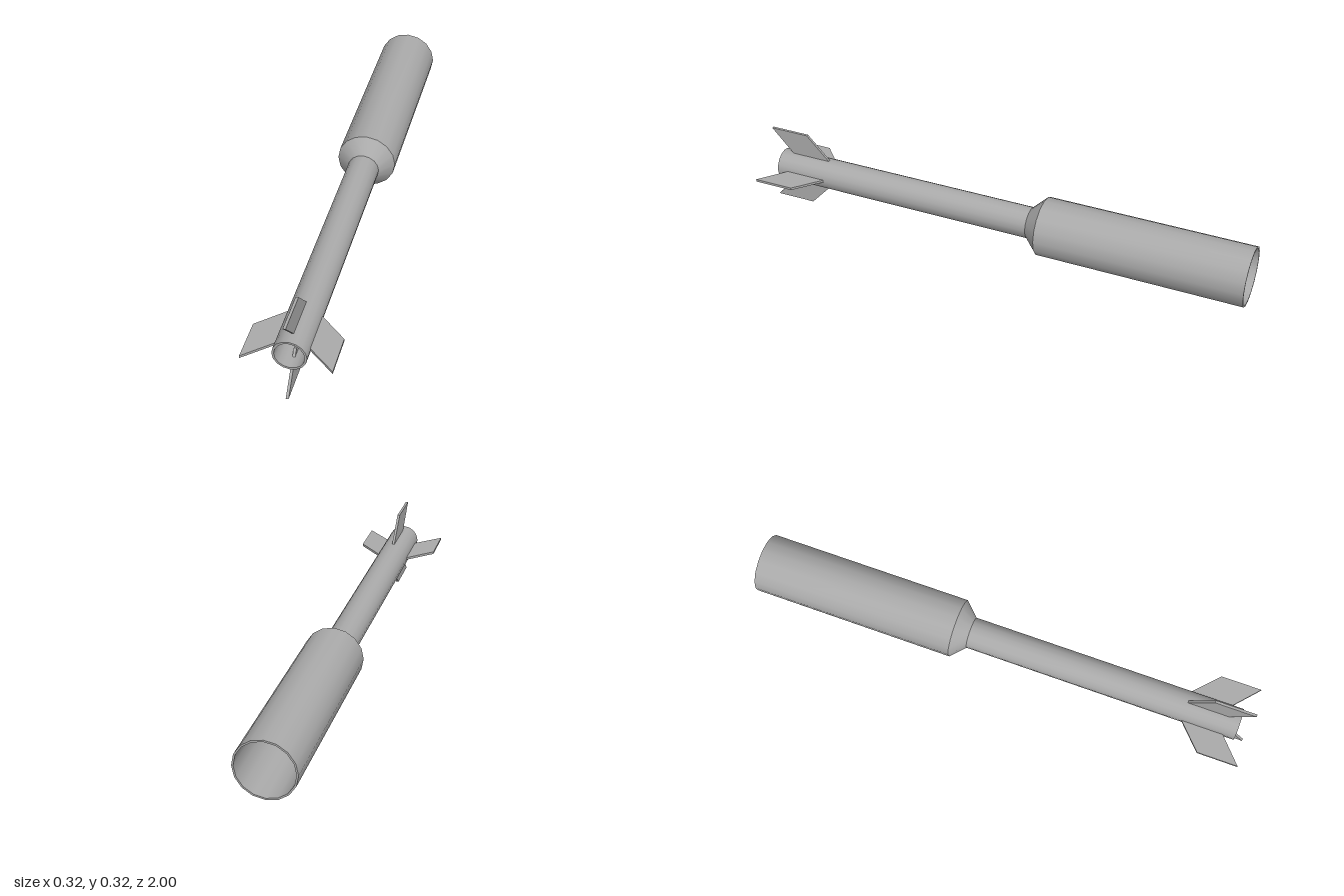
import * as THREE from 'three';
import { toCreasedNormals } from 'three/addons/utils/BufferGeometryUtils.js';

const AXIS_HEIGHT = 0.161;

export function createModel() {
  const model = new THREE.Group();
  model.name = 'finnedRocket';
  const grey = new THREE.MeshStandardMaterial({ color: 0xaaaaaa });
  grey.name = 'plain grey';

  // Hollow body: wide tube, cone and narrow tube as one closed wall [radius, z]
  const profile = [
    [0.116, -1], [0.116, -0.185], [0.062, -0.13], [0.062, 0.957],
    [0.054, 0.957], [0.054, -0.133], [0.109, -0.189], [0.109, -1], [0.116, -1],
  ].map(([r, z]) => new THREE.Vector2(r, z));
  const bodyGeometry = toCreasedNormals(new THREE.LatheGeometry(profile, 16), 0.6);
  bodyGeometry.rotateX(Math.PI / 2);
  const body = new THREE.Mesh(bodyGeometry, grey);
  body.name = 'hollowBody';
  body.position.y = AXIS_HEIGHT;
  model.add(body);

  // Swept fins, passing through the tube wall
  const outline = new THREE.Shape([
    [0.031, 0.72], [0.161, 0.84], [0.161, 1], [0.031, 0.885],
  ].map(([r, z]) => new THREE.Vector2(r, z)));
  const thickness = 0.01;
  const finGeometry = new THREE.ExtrudeGeometry(outline, { depth: thickness, bevelEnabled: false });
  finGeometry.translate(0, 0, -thickness / 2);
  finGeometry.rotateX(Math.PI / 2);

  ['leftFin', 'topFin', 'rightFin', 'bottomFin'].forEach((name, i) => {
    const fin = new THREE.Mesh(finGeometry, grey);
    fin.name = name;
    fin.position.y = AXIS_HEIGHT;
    fin.rotation.z = i * Math.PI / 2;
    model.add(fin);
  });

  return model;
}
